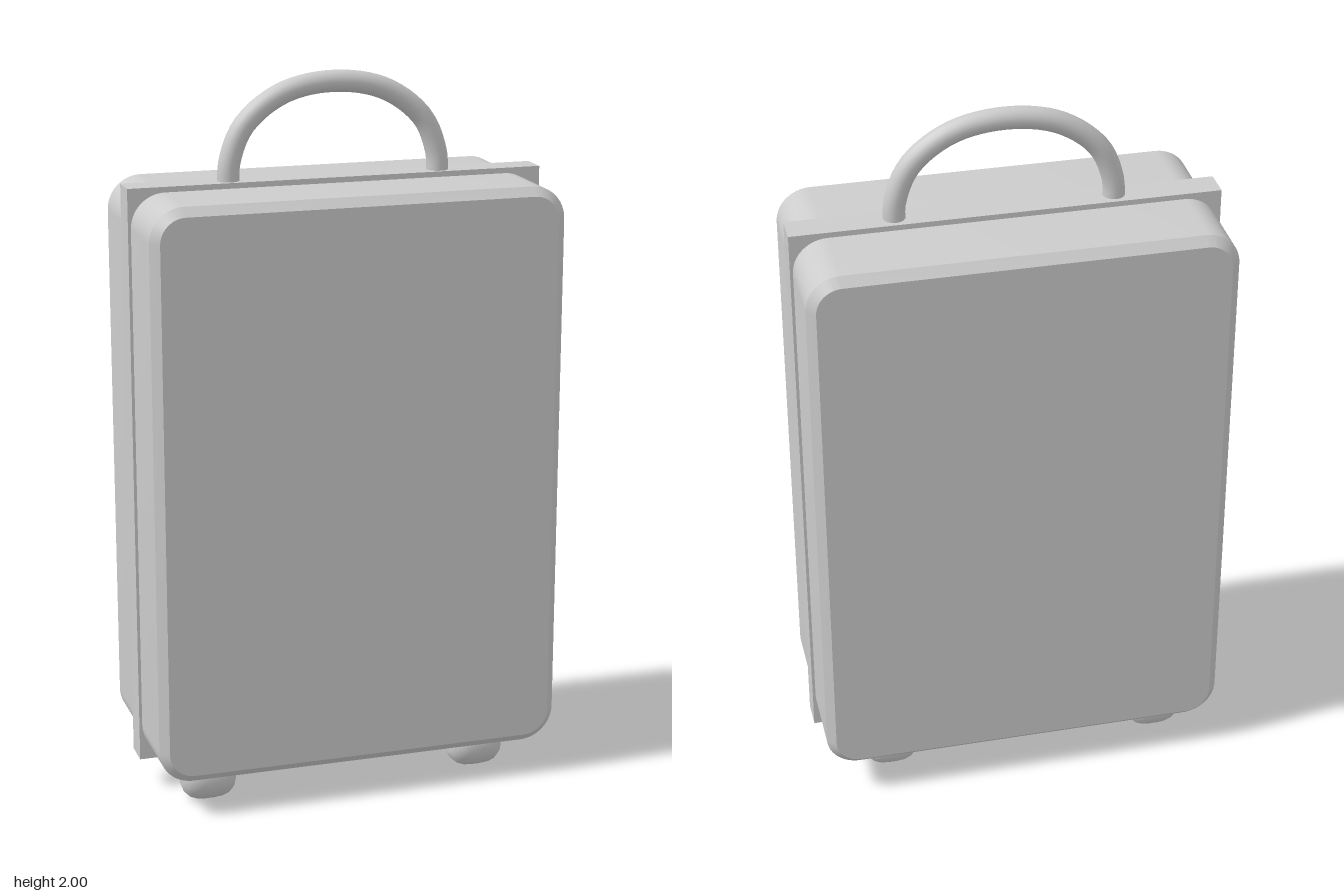
import * as THREE from 'three';
import { toCreasedNormals } from 'three/addons/utils/BufferGeometryUtils.js';

const material = new THREE.MeshStandardMaterial({ color: 0xcccccc });

function addMesh(parent, name, geometry, x = 0, y = 0, z = 0) {
  const mesh = new THREE.Mesh(geometry, material);
  mesh.name = name;
  mesh.position.set(x, y, z);
  parent.add(mesh);
  return mesh;
}

// Rounded rectangle centred on the origin
function roundedRect(w, h, r) {
  const x = w / 2, y = h / 2;
  const s = new THREE.Shape();
  s.moveTo(-x + r, -y);
  s.lineTo(x - r, -y);
  s.absarc(x - r, -y + r, r, -Math.PI / 2, 0);
  s.absarc(x - r, y - r, r, 0, Math.PI / 2);
  s.absarc(-x + r, y - r, r, Math.PI / 2, Math.PI);
  s.absarc(-x + r, -y + r, r, Math.PI, Math.PI * 1.5);
  return s;
}

export function createModel() {
  const suitcase = new THREE.Group();
  suitcase.name = 'suitcase';

  // Shell with rounded corners and a chamfer round both faces
  const bevel = 0.024, depth = 0.54;
  const shell = new THREE.ExtrudeGeometry(roundedRect(1.102, 1.552, 0.07), {
    depth: depth - 2 * bevel,
    bevelEnabled: true,
    bevelThickness: bevel,
    bevelSize: bevel,
    bevelSegments: 1,
    curveSegments: 6,
  });
  shell.translate(0, 0, bevel - depth / 2);
  addMesh(suitcase, 'shell', toCreasedNormals(shell, 0.5), 0, 0.9, 0);

  // Square-cornered band round the middle seam
  addMesh(suitcase, 'seamBand', new THREE.BoxGeometry(1.166, 1.625, 0.082), 0, 0.9025, -0.002);

  // Arched carrying handle
  const half = [[0.297, 1.69], [0.293, 1.765], [0.252, 1.862], [0.145, 1.943]];
  const points = [
    ...half.map(([x, y]) => new THREE.Vector3(-x, y, 0)),
    new THREE.Vector3(0, 1.97, 0),
    ...half.slice().reverse().map(([x, y]) => new THREE.Vector3(x, y, 0)),
  ];
  const arch = new THREE.CatmullRomCurve3(points);
  addMesh(suitcase, 'handle', new THREE.TubeGeometry(arch, 40, 0.03, 16));

  // Four rounded wheels turning on a sideways axle
  const profile = [
    [0, -0.076], [0.03, -0.076], [0.05, -0.068], [0.064, -0.053], [0.071, -0.034], [0.073, -0.012],
    [0.073, 0.012], [0.071, 0.034], [0.064, 0.053], [0.05, 0.068], [0.03, 0.076], [0, 0.076],
  ].map(([r, y]) => new THREE.Vector2(r, y));
  const wheel = new THREE.LatheGeometry(profile, 20).rotateZ(Math.PI / 2);
  for (const [side, x] of [['Left', 0.375], ['Right', -0.415]]) {
    addMesh(suitcase, 'front' + side + 'Wheel', wheel, x, 0.073, 0.14);
    addMesh(suitcase, 'back' + side + 'Wheel', wheel, x, 0.073, -0.132);
  }

  return suitcase;
}
